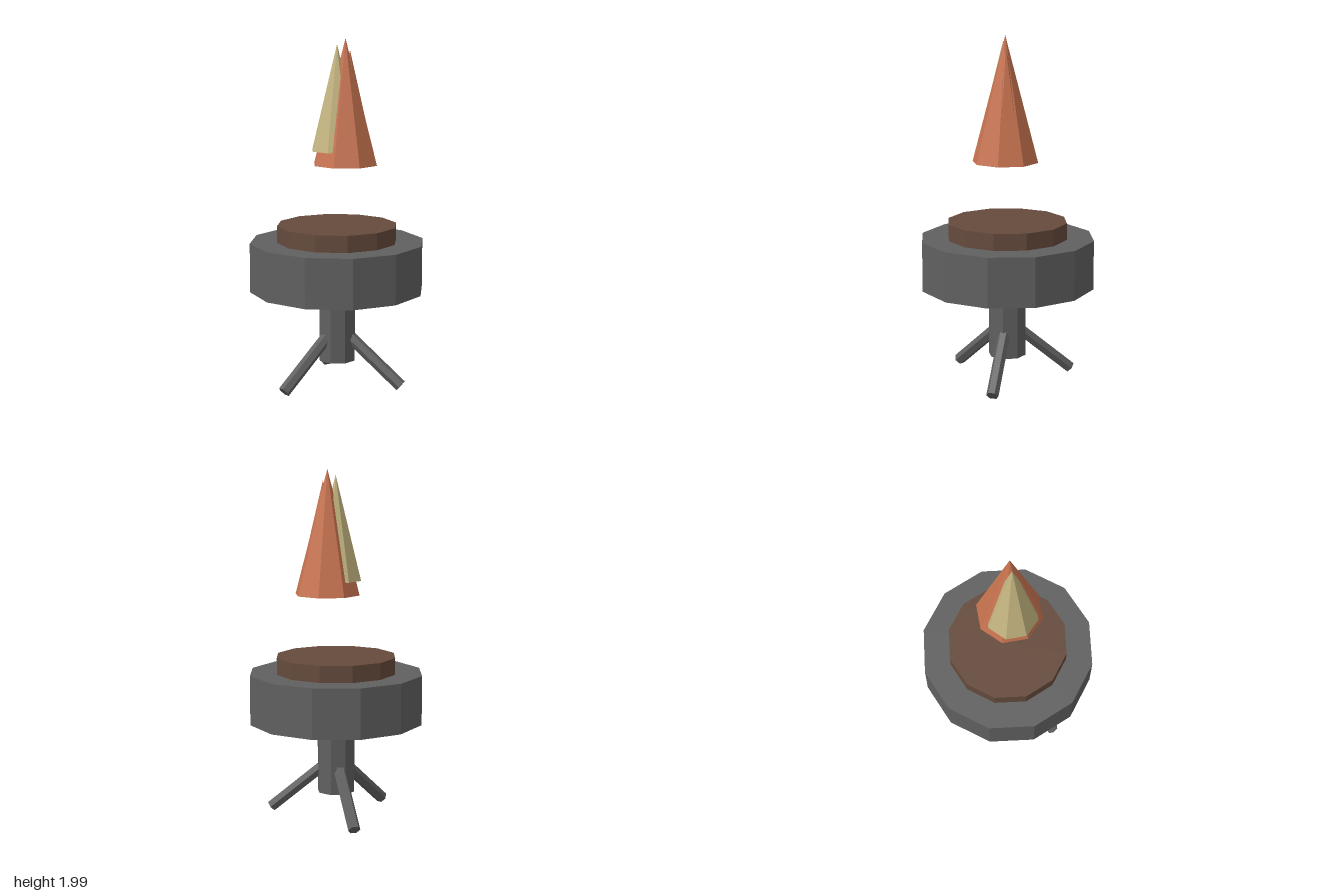
import * as THREE from 'three';

const paint = (color) => new THREE.MeshStandardMaterial({ color, flatShading: true });

export function createModel() {
  const model = new THREE.Group();
  model.name = 'brazier';
  const iron = paint(0x606060);
  const coal = paint(0x654a3c);

  // Upright prism or cone between two heights
  const column = (name, rTop, rBottom, y0, y1, sides, material, x = 0, z = 0) => {
    const geometry = rTop === 0
      ? new THREE.ConeGeometry(rBottom, y1 - y0, sides)
      : new THREE.CylinderGeometry(rTop, rBottom, y1 - y0, sides);
    const mesh = new THREE.Mesh(geometry, material);
    mesh.name = name;
    mesh.position.set(x, (y0 + y1) / 2, z);
    model.add(mesh);
  };

  // Stand and fire bowl
  column('post', 0.109, 0.109, 0.155, 0.58, 8, iron);
  column('bowl', 0.5, 0.5, 0.57, 0.852, 12, iron);
  column('coals', 0.345, 0.345, 0.8, 0.947, 12, coal);

  // Three splayed legs
  const top = new THREE.Vector3(0.06, 0.312, 0);
  const foot = new THREE.Vector3(0.388, 0.034, 0);
  const axis = foot.clone().sub(top);
  for (let i = 0; i < 3; i++) {
    const pivot = new THREE.Group();
    pivot.name = 'leg' + (i + 1);
    pivot.rotation.y = (i * Math.PI * 2) / 3;
    const leg = new THREE.Mesh(new THREE.CylinderGeometry(0.035, 0.035, axis.length(), 6), iron);
    leg.name = 'legBar';
    leg.position.copy(top).add(foot).multiplyScalar(0.5);
    leg.rotation.z = Math.atan2(axis.x, -axis.y);
    pivot.add(leg);
    model.add(pivot);
  }

  // Overlapping flame cones
  column('mainFlame', 0, 0.188, 1.295, 2.0, 8, paint(0xc87350), 0.05, 0);
  column('paleFlame', 0, 0.149, 1.375, 1.968, 8, paint(0xc4b580), 0.008, 0.021);
  column('innerFlame', 0, 0.112, 1.47, 1.935, 8, paint(0xc87350), 0.074, -0.008);

  return model;
}
